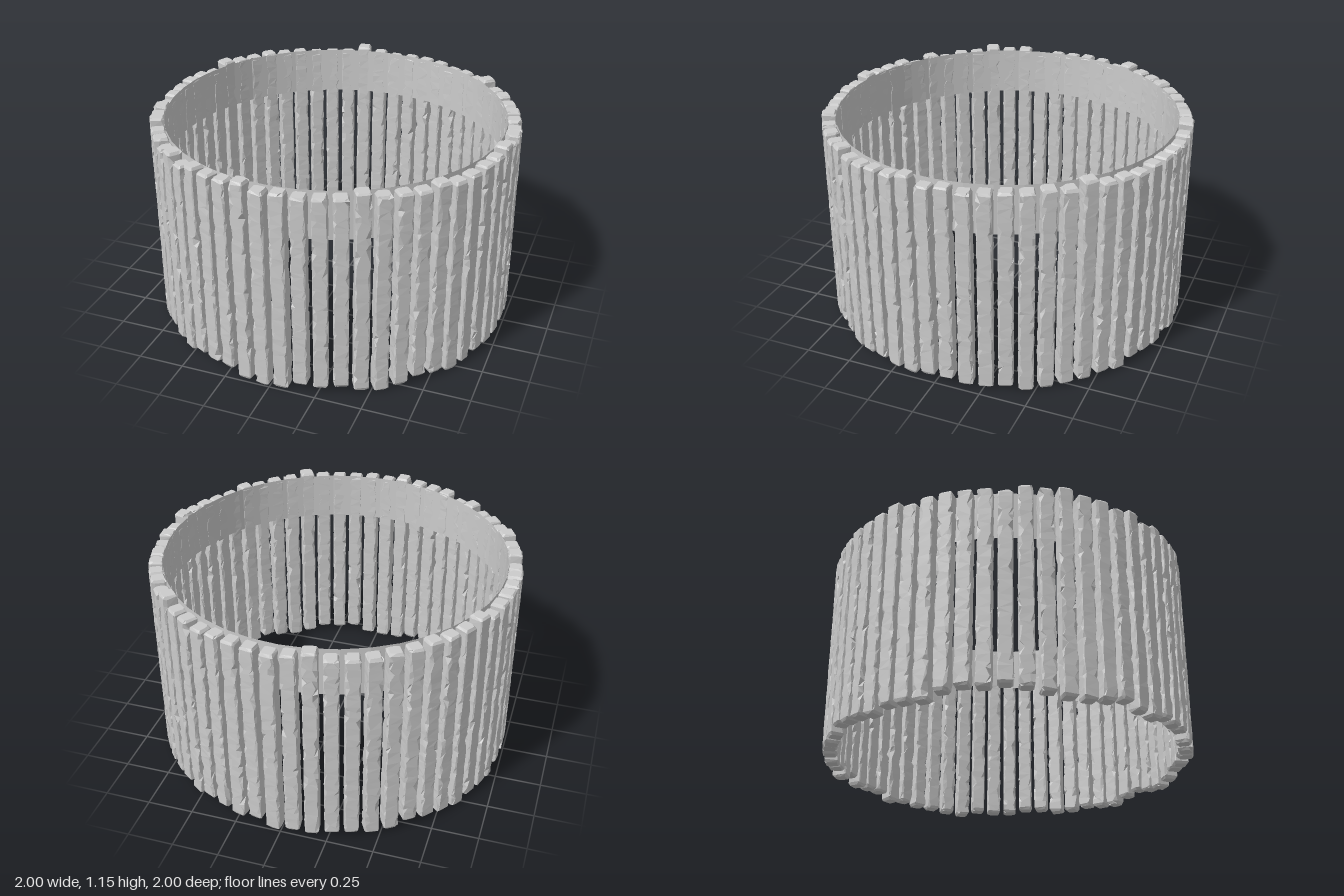
import * as THREE from 'three';

const POSTS = 60;
const RADIUS = 0.958;
const material = new THREE.MeshStandardMaterial({ color: 0xcccccc, flatShading: true });
const bandMaterial = new THREE.MeshStandardMaterial({ color: 0xcccccc, flatShading: true, side: THREE.DoubleSide });

// Small seeded random number source
function seeded(seed) {
  let s = seed >>> 0;
  return () => {
    s = (s + 0x6d2b79f5) >>> 0;
    let t = Math.imul(s ^ (s >>> 15), s | 1);
    t ^= t + Math.imul(t ^ (t >>> 7), t | 61);
    return ((t ^ (t >>> 14)) >>> 0) / 4294967296;
  };
}

// Rough hewn post: stacked square sections whose four corners are chipped unevenly
function postGeometry(bottom, top, rnd) {
  const rings = 32, sides = 8;
  const halfW = 0.0395, halfD = 0.04;
  const pos = [], index = [];
  const corners = [[1, 1], [-1, 1], [-1, -1], [1, -1]];
  const chip = () => 0.004 + 0.024 * Math.pow(rnd(), 3.5);

  for (let j = 0; j <= rings; j++) {
    const end = j === 0 || j === rings;
    const inset = end ? 0.008 : 0;
    const t = j === 0 ? 0 : j === rings ? 1 : 0.012 + 0.976 * (j - 1) / (rings - 2);
    const y = bottom + (top - bottom) * t;
    corners.forEach(([sx, sz], c) => {
      const w = halfW - inset - 0.003 * rnd();
      const d = halfD - inset - 0.002 * rnd();
      const a = [sx * (w - chip()), sz * d];
      const b = [sx * w, sz * (d - chip())];
      // Keep the section running the same way round at every corner
      for (const p of c % 2 ? [a, b] : [b, a]) {
        const dy = end ? 0 : (rnd() - 0.5) * (j === 1 || j === rings - 1 ? 0.01 : 0.022);
        pos.push(p[0], y + dy, p[1]);
      }
    });
  }

  for (let j = 0; j < rings; j++) {
    for (let k = 0; k < sides; k++) {
      const a = j * sides + k, b = j * sides + (k + 1) % sides;
      const c = a + sides, d = b + sides;
      if ((j + k) % 2) index.push(a, c, b, b, c, d);
      else index.push(a, c, d, a, d, b);
    }
  }

  // End caps, slightly uneven
  const low = pos.length / 3, high = low + 1, last = rings * sides;
  pos.push(0, bottom, 0, 0, top, 0);
  for (let k = 0; k < sides; k++) {
    const n = (k + 1) % sides;
    index.push(low, k, n, high, last + n, last + k);
  }

  const geo = new THREE.BufferGeometry();
  geo.setAttribute('position', new THREE.Float32BufferAttribute(pos, 3));
  geo.setIndex(index);
  const flat = geo.toNonIndexed();
  flat.computeVertexNormals();
  return flat;
}

export function createModel() {
  const model = new THREE.Group();
  model.name = 'palisade';

  // Ring of upright posts with uneven ends
  const posts = new THREE.Group();
  posts.name = 'posts';
  for (let i = 0; i < POSTS; i++) {
    const rnd = seeded(101 + i * 977);
    const bottom = i % 10 === 9 ? 0 : 0.05 * rnd();
    const top = i % 9 === 4 ? 1.155 : 1.11 + 0.032 * rnd();
    const angle = THREE.MathUtils.degToRad(3.6 + i * 360 / POSTS);
    const post = new THREE.Mesh(postGeometry(bottom, top, rnd), material);
    post.name = 'post';
    post.position.set(Math.sin(angle) * RADIUS, 0, Math.cos(angle) * RADIUS);
    post.rotation.y = angle + (rnd() - 0.5) * 0.08;
    posts.add(post);
  }
  model.add(posts);

  // Thin hoop inside the top of the posts
  const hoop = new THREE.Mesh(new THREE.CylinderGeometry(0.922, 0.922, 0.265, 40, 1, true), bandMaterial);
  hoop.name = 'innerHoop';
  hoop.position.y = 1.0025;
  model.add(hoop);

  return model;
}
